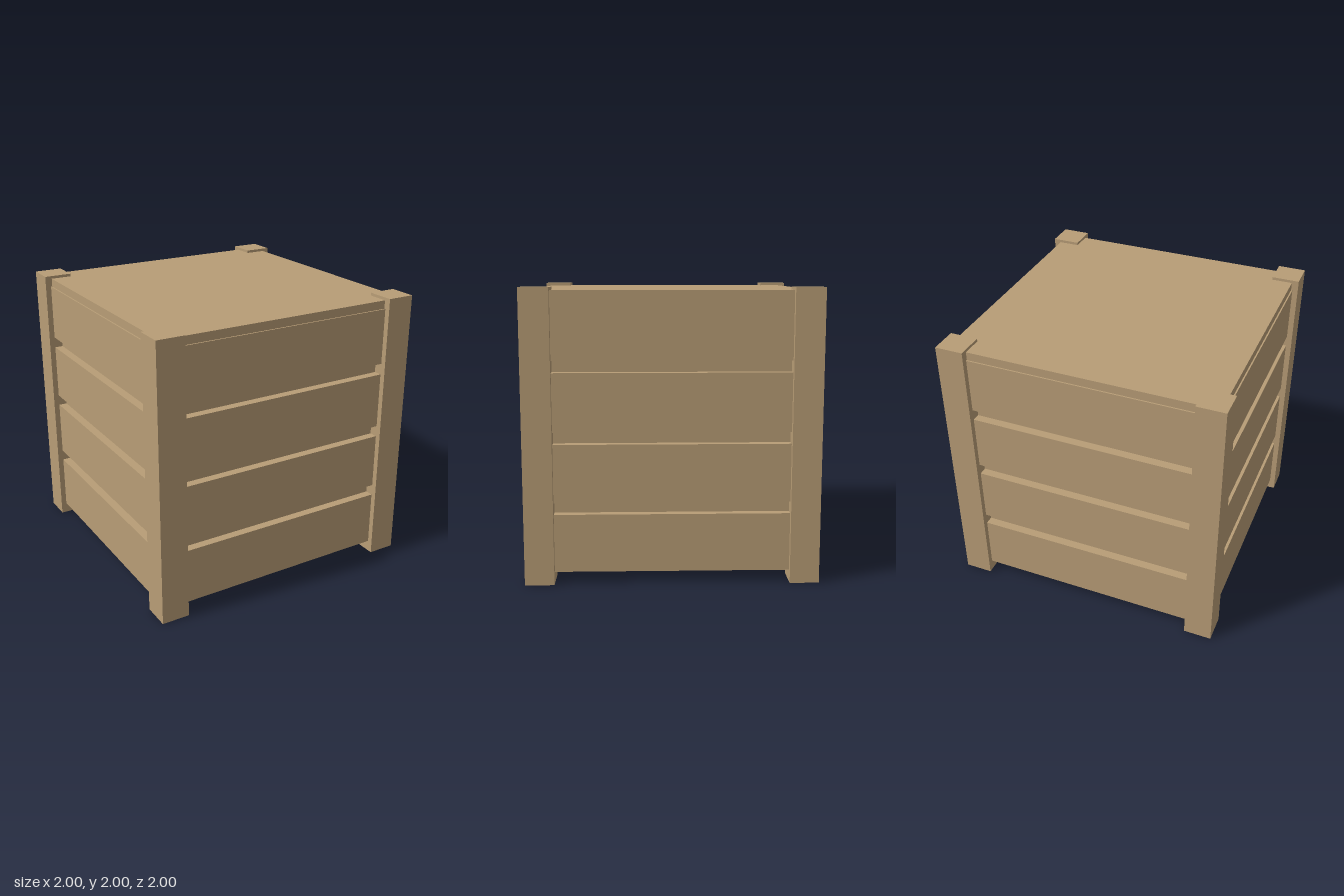
import * as THREE from 'three';

export function createModel() {
  const crate = new THREE.Group();
  crate.name = 'crate';
  const wood = new THREE.MeshStandardMaterial({ color: 0xb89d76 });
  wood.name = 'tanWood';

  // Box given by its size and centre
  function addBox(parent, name, [w, h, d], [x, y, z]) {
    const mesh = new THREE.Mesh(new THREE.BoxGeometry(w, h, d), wood);
    mesh.name = name;
    mesh.position.set(x, y, z);
    parent.add(mesh);
  }

  // Recessed inner box, seen between the slats and from below
  addBox(crate, 'innerBox', [1.8, 1.78, 1.8], [0, 1.01, 0]);

  // Lid, just inside the slat faces and below the post tops
  addBox(crate, 'lid', [1.9, 0.08, 1.9], [0, 1.94, 0]);

  // Square corner posts, which also form the feet
  for (const x of [-0.9, 0.9]) {
    for (const z of [-0.9, 0.9]) {
      addBox(crate, 'cornerPost', [0.2, 2, 0.2], [x, 1, z]);
    }
  }

  // Four sides of four evenly spaced slats
  for (let i = 0; i < 4; i++) {
    const side = new THREE.Group();
    side.name = 'slatSide';
    side.rotation.y = (i * Math.PI) / 2;
    for (let j = 0; j < 4; j++) {
      addBox(side, 'slat', [1.64, 0.4, 0.06], [0, 0.28 + j * 0.48, 0.93]);
    }
    crate.add(side);
  }

  return crate;
}
